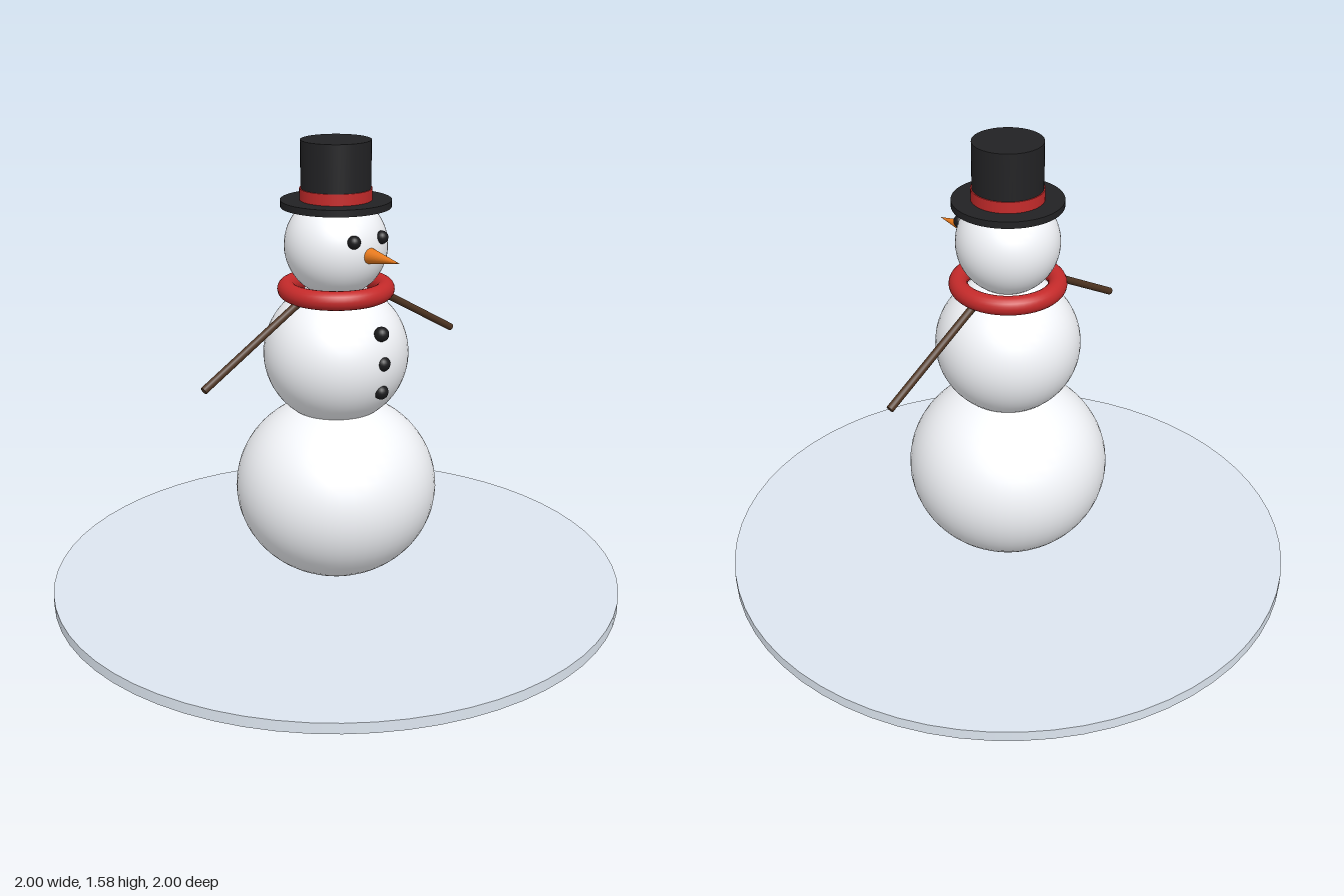
import * as THREE from 'three';

const paint = (color) => new THREE.MeshStandardMaterial({ color });

export function createModel() {
  const model = new THREE.Group();
  model.name = 'snowman';
  const snow = paint(0xf4f6fa);
  const ground = paint(0xdde6f0);
  const coal = paint(0x1a1a1c);
  const felt = paint(0x222224);
  const red = paint(0xc42a2a);
  const carrot = paint(0xe87a1c);
  const wood = paint(0x4f3522);

  function add(name, geometry, material, x, y, z) {
    const mesh = new THREE.Mesh(geometry, material);
    mesh.name = name;
    mesh.position.set(x, y, z);
    model.add(mesh);
    return mesh;
  }
  // upright disc or cylinder between two heights
  const drum = (name, r, y0, y1, material, sides = 48) =>
    add(name, new THREE.CylinderGeometry(r, r, y1 - y0, sides), material, 0, (y0 + y1) / 2, 0);

  // snowy ground disc
  drum('groundDisc', 1, 0, 0.037, ground, 64);

  // three snowballs, the lowest slightly squashed
  const ball = (name, r, y, squash = 1) =>
    add(name, new THREE.SphereGeometry(r, 48, 32), snow, 0, y, 0).scale.set(1, squash, 1);
  ball('lowerBody', 0.35, 0.37, 0.92);
  ball('upperBody', 0.248, 0.855, 0.98);
  ball('head', 0.174, 1.23);

  // scarf
  add('scarf', new THREE.TorusGeometry(0.166, 0.032, 20, 56), red, 0, 1.08, 0).rotation.x = Math.PI / 2;

  // top hat
  drum('hatBrim', 0.185, 1.36, 1.383, felt);
  drum('hatCrown', 0.117, 1.383, 1.58, felt);
  drum('hatBand', 0.121, 1.383, 1.421, red);

  // carrot nose, its base sunk into the head
  add('nose', new THREE.ConeGeometry(0.028, 0.15, 24), carrot, 0, 1.222, 0.237).rotation.x = Math.PI / 2;

  // coal buttons
  const buttonGeometry = new THREE.SphereGeometry(0.025, 20, 14);
  for (const [y, z] of [[0.97, 0.23], [0.87, 0.238], [0.77, 0.23]]) {
    add('button', buttonGeometry, coal, 0, y, z);
  }

  // eyes and stick arms, mirrored
  const eyeGeometry = new THREE.SphereGeometry(0.022, 20, 14);
  for (const side of [1, -1]) {
    const label = side > 0 ? 'left' : 'right';
    add(label + 'Eye', eyeGeometry, coal, side * 0.06, 1.273, 0.16);
    const start = new THREE.Vector3(side * 0.15, 1.063, 0);
    const end = new THREE.Vector3(side * 0.552, 0.837, 0);
    const along = end.clone().sub(start);
    const arm = add(label + 'Arm', new THREE.CylinderGeometry(0.013, 0.013, along.length(), 16), wood,
      ...start.clone().add(end).multiplyScalar(0.5).toArray());
    arm.quaternion.setFromUnitVectors(new THREE.Vector3(0, 1, 0), along.normalize());
  }
  return model;
}
